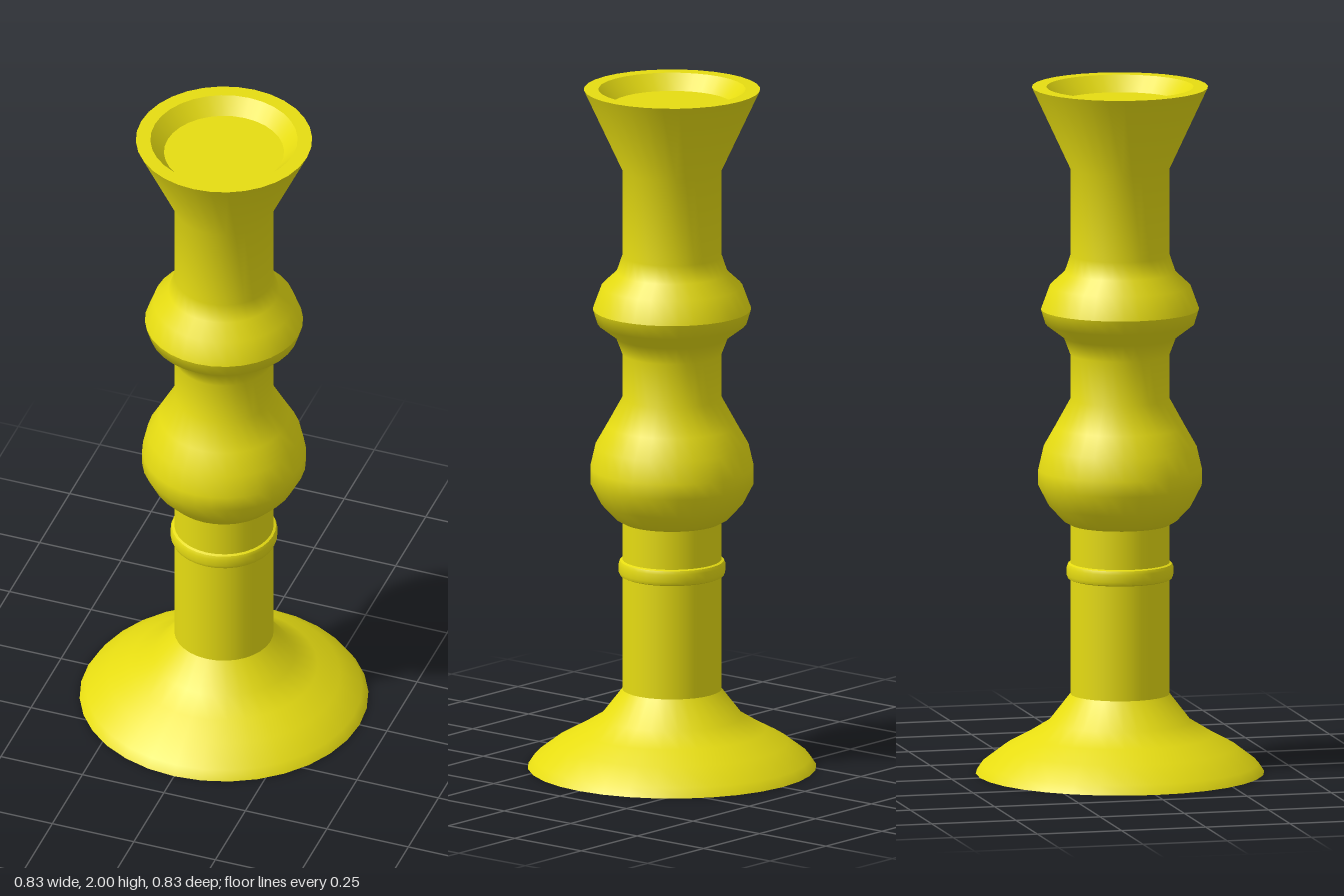
import * as THREE from 'three';

// Turned candlestick: each section is a lathe, smooth inside and creased where sections meet.
const SEGMENTS = 32;

const sections = {
  foot: [[0.416, 0], [0.398, 0.027], [0.335, 0.075], [0.27, 0.11], [0.205, 0.15], [0.143, 0.23]],
  lowerStem: [[0.143, 0.23], [0.143, 0.57]],
  collarUnderside: [[0.143, 0.565], [0.15, 0.568]],
  collarBand: [[0.15, 0.568], [0.154, 0.578], [0.154, 0.6], [0.15, 0.61]],
  collarTop: [[0.15, 0.61], [0.143, 0.613]],
  upperStem: [[0.143, 0.61], [0.143, 0.725]],
  bulb: [[0.143, 0.725], [0.165, 0.737], [0.205, 0.78], [0.236, 0.84], [0.236, 0.885],
    [0.221, 0.95], [0.187, 1.01], [0.143, 1.09], [0.143, 1.22], [0.162, 1.27], [0.215, 1.31], [0.228, 1.352]],
  knopAndCup: [[0.228, 1.352], [0.203, 1.42], [0.16, 1.46], [0.143, 1.51], [0.143, 1.762], [0.254, 2]],
  rim: [[0.254, 2], [0.212, 2]],
  socketWall: [[0.212, 2], [0.173, 1.955]],
  socketFloor: [[0.173, 1.955], [0, 1.955]],
  footUnderside: [[0, 0], [0.416, 0]],
};

export function createModel() {
  const group = new THREE.Group();
  group.name = 'candlestick';
  const material = new THREE.MeshStandardMaterial({ color: 0xe6dc12 });

  for (const [name, profile] of Object.entries(sections)) {
    const points = profile.map(([r, y]) => new THREE.Vector2(r, y));
    const mesh = new THREE.Mesh(new THREE.LatheGeometry(points, SEGMENTS), material);
    mesh.name = name;
    group.add(mesh);
  }
  return group;
}
